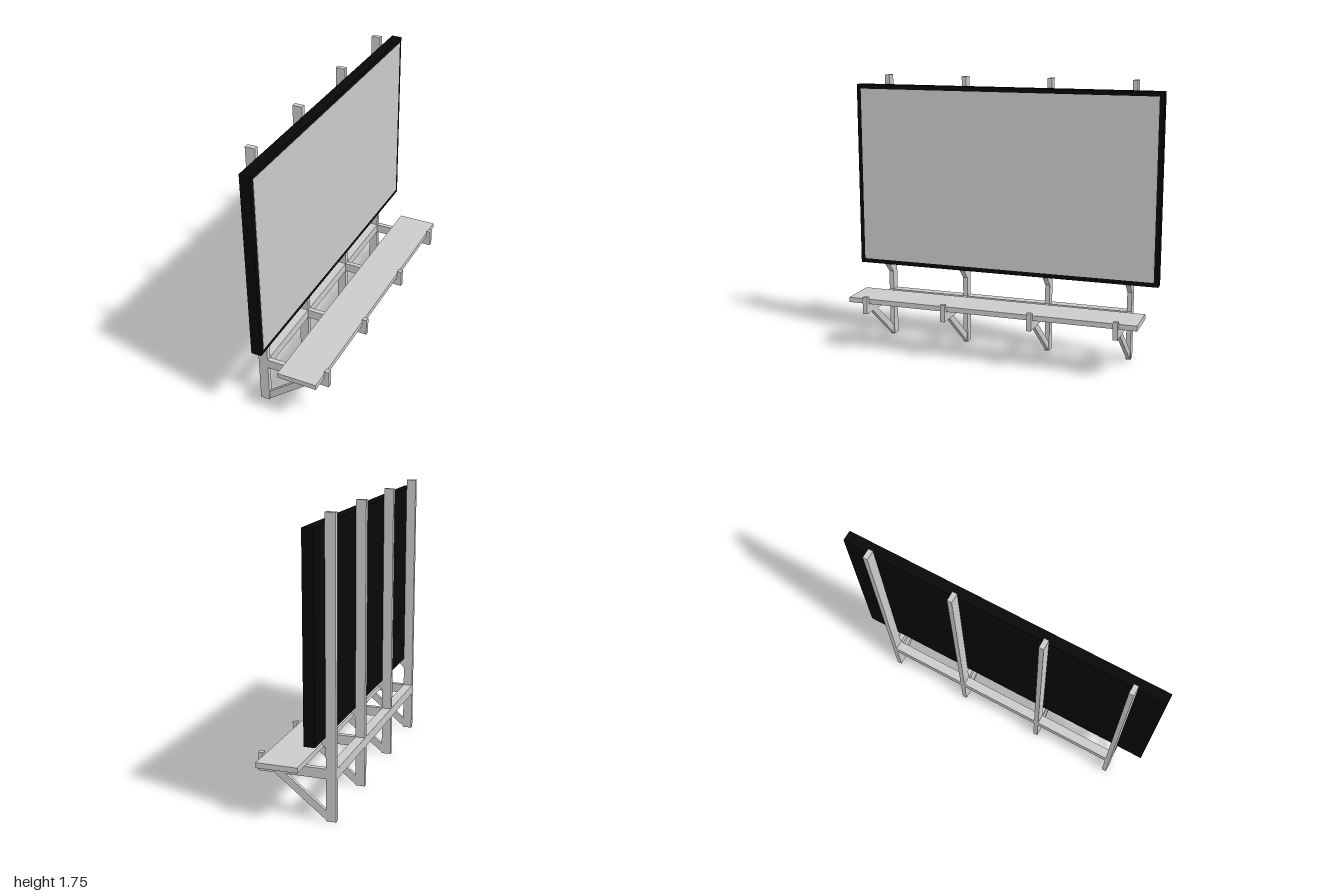
import * as THREE from 'three';

const POST_Z = [-0.813, -0.281, 0.281, 0.813];
const THICK = 0.03;
const BACK = -0.235, FACE = -0.175, FRONT = -0.11;

export function createModel() {
  const model = new THREE.Group();
  model.name = 'billboard';
  const grey = new THREE.MeshStandardMaterial({ color: 0xcccccc });
  const black = new THREE.MeshStandardMaterial({ color: 0x080808 });

  // Box given by its limits on each axis
  function box(name, parent, x0, x1, y0, y1, z0, z1, material = grey) {
    const mesh = new THREE.Mesh(new THREE.BoxGeometry(x1 - x0, y1 - y0, z1 - z0), material);
    mesh.position.set((x0 + x1) / 2, (y0 + y1) / 2, (z0 + z1) / 2);
    mesh.name = name;
    parent.add(mesh);
  }

  // Side profile in x and y, given a thickness along z
  function plate(name, parent, points, depth) {
    const shape = new THREE.Shape(points.map(([x, y]) => new THREE.Vector2(x, y)));
    const geometry = new THREE.ExtrudeGeometry(shape, { depth, bevelEnabled: false });
    geometry.translate(0, 0, -depth / 2);
    const mesh = new THREE.Mesh(geometry, grey);
    mesh.name = name;
    parent.add(mesh);
  }

  // Four supports: post, walkway arm with end stop, brace and board bracket
  POST_Z.forEach((z) => {
    const support = new THREE.Group();
    support.name = 'support';
    support.position.z = z;
    const h = THICK / 2;
    box('post', support, BACK, FACE, 0, 1.75, -h, h);
    plate('walkwayArm', support, [
      [FACE, 0.255], [0.232, 0.255], [0.232, 0.365], [0.203, 0.365], [0.203, 0.315], [FACE, 0.315],
    ], THICK);
    plate('diagonalBrace', support, [[FACE, 0.005], [0.14, 0.255], [0.07, 0.255], [FACE, 0.062]], 0.022);
    plate('boardBracket', support, [[FACE, 0.44], [FRONT, 0.505], [FACE, 0.505]], THICK);
    model.add(support);
  });

  // Rails joining neighbouring posts
  for (let i = 0; i < POST_Z.length - 1; i++) {
    box('rail', model, BACK, FACE, 0.255, 0.315, POST_Z[i] + THICK / 2, POST_Z[i + 1] - THICK / 2);
  }

  // Walkway deck
  box('walkwayDeck', model, -0.048, 0.203, 0.315, 0.347, -0.938, 0.938);

  // Black casing with the display panel on its front
  box('boardCasing', model, FACE, FRONT, 0.503, 1.69, -1, 1, black);
  box('displayPanel', model, FRONT - 0.005, FRONT + 0.002, 0.531, 1.662, -0.972, 0.972);

  return model;
}
